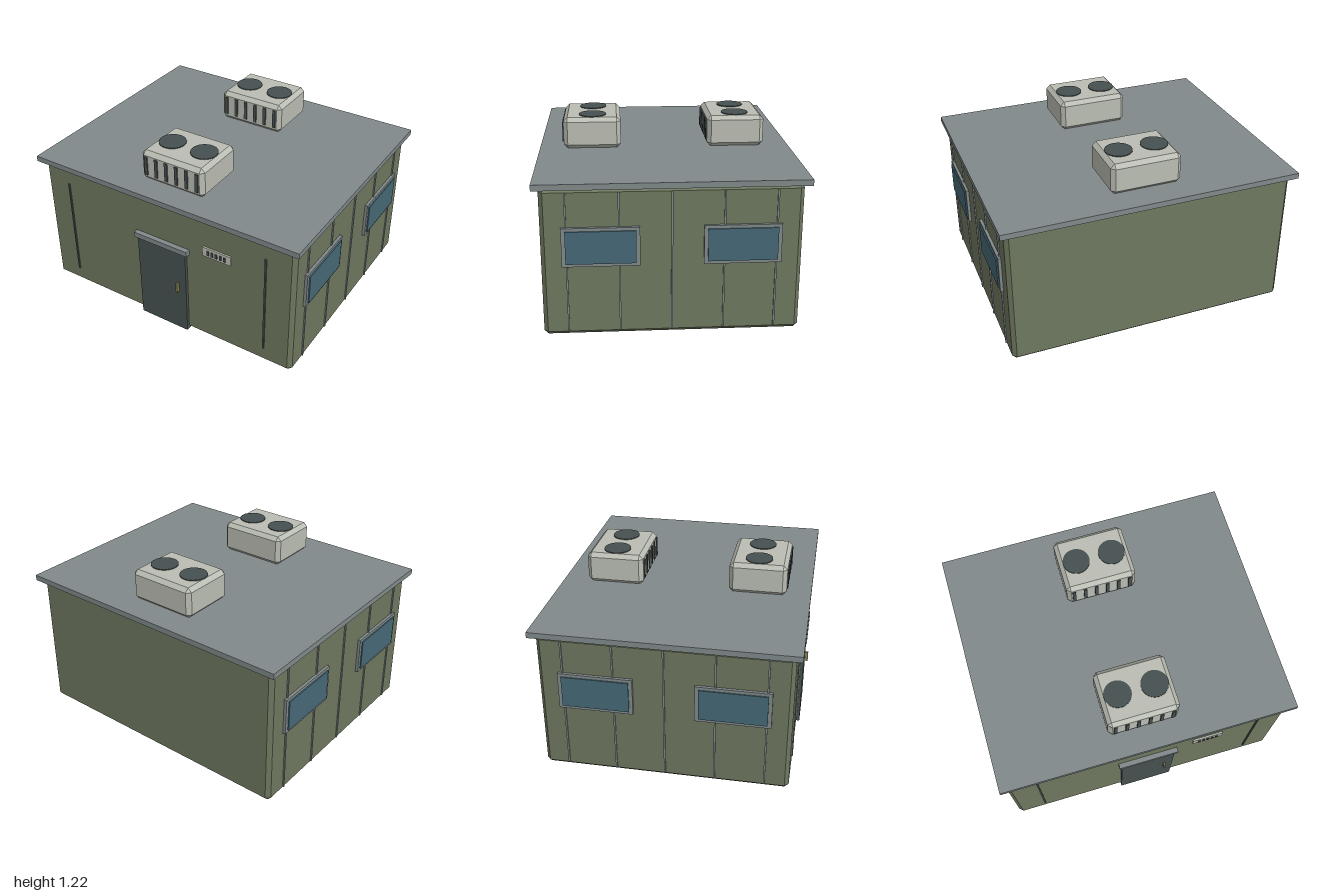
import * as THREE from 'three';
import { ConvexGeometry } from 'three/addons/geometries/ConvexGeometry.js';

const material = (name, color) => {
  const m = new THREE.MeshStandardMaterial({ color });
  m.name = name;
  return m;
};

// Box with every edge cut at 45 degrees or so, given by its limits
function chamferedBox([x0, x1], [y0, y1], [z0, z1], c) {
  const h = [(x1 - x0) / 2, (y1 - y0) / 2, (z1 - z0) / 2];
  const points = [];
  for (const sx of [-1, 1]) for (const sy of [-1, 1]) for (const sz of [-1, 1]) {
    for (let axis = 0; axis < 3; axis++) {
      const p = h.map((v, i) => (i === axis ? v : v - c));
      points.push(new THREE.Vector3(sx * p[0], sy * p[1], sz * p[2]));
    }
  }
  return new ConvexGeometry(points).translate((x0 + x1) / 2, (y0 + y1) / 2, (z0 + z1) / 2);
}

function box([x0, x1], [y0, y1], [z0, z1]) {
  return new THREE.BoxGeometry(x1 - x0, y1 - y0, z1 - z0)
    .translate((x0 + x1) / 2, (y0 + y1) / 2, (z0 + z1) / 2);
}

export function createModel() {
  const olive = material('olive wall', 0x6e785f);
  const grey = material('roof grey', 0x80898a);
  const dark = material('dark slate', 0x475050);
  const glass = material('window blue', 0x456876);
  const pale = material('pale metal', 0xbbbeb4);
  const brass = material('dull brass', 0x858552);

  const model = new THREE.Group();
  model.name = 'utilityBuilding';
  const add = (parent, name, geometry, mat) => {
    const mesh = new THREE.Mesh(geometry, mat);
    mesh.name = name;
    parent.add(mesh);
    return mesh;
  };
  const around = (c, w) => [c - w / 2, c + w / 2];

  // Walls and overhanging flat roof
  add(model, 'walls', chamferedBox([-0.965, 0.965], [0.002, 0.966], [-0.802, 0.798], 0.026), olive);
  add(model, 'roof', box([-1, 1], [0.965, 1.003], [-0.842, 0.836]), grey);

  // Door with canopy and handle
  add(model, 'door', box([-0.187, 0.187], [0, 0.642], [0.76, 0.82]), dark);
  add(model, 'doorCanopy', box([-0.207, 0.207], [0.642, 0.679], [0.78, 0.832]), grey);
  add(model, 'doorHandle', box(around(0.125, 0.013), [0.32, 0.39], [0.815, 0.842]), brass);

  // Front seams and slotted vent plate
  for (const s of [-1, 1]) {
    add(model, 'frontSeam', box(around(s * 0.765, 0.011), [0.12, 0.842], [0.79, 0.807]), dark);
  }
  add(model, 'ventPlate', box([0.315, 0.522], [0.69, 0.757], [0.79, 0.81]), pale);
  for (let i = 0; i < 5; i++) {
    add(model, 'ventSlot', box(around(0.358 + i * 0.0305, 0.015), [0.707, 0.739], [0.809, 0.816]), dark);
  }

  // Ribs and windows on both side walls
  for (const s of [-1, 1]) {
    const span = (a, b) => (s > 0 ? [a, b] : [-b, -a]);
    for (let i = -2; i <= 2; i++) {
      add(model, 'sideRib', box(span(0.955, 0.973), [0.03, 0.94], around(i * 0.321, 0.011)), grey);
    }
    for (const z of [-0.433, 0.433]) {
      add(model, 'windowFrame', box(span(0.955, 0.984), [0.47, 0.72], around(z, 0.477)), grey);
      add(model, 'windowPane', box(span(0.983, 0.992), [0.49, 0.7], around(z, 0.43)), glass);
    }
  }

  // Two rooftop cooling units with fans on top and slats in front
  for (const z of [-0.48, 0.484]) {
    const unit = new THREE.Group();
    unit.name = 'coolingUnit';
    unit.position.set(0, 1.002, z);
    add(unit, 'unitCasing', chamferedBox([-0.238, 0.238], [0, 0.21], [-0.191, 0.191], 0.027), pale);
    for (const s of [-1, 1]) {
      add(unit, 'fan', new THREE.CylinderGeometry(0.09, 0.09, 0.008, 32)
        .translate(s * 0.122, 0.212, -0.004), dark);
    }
    for (let i = 0; i < 6; i++) {
      add(unit, 'slat', box(around((i - 2.5) * 0.077, 0.022), [0.043, 0.175], [0.185, 0.199]), dark);
    }
    model.add(unit);
  }
  return model;
}
